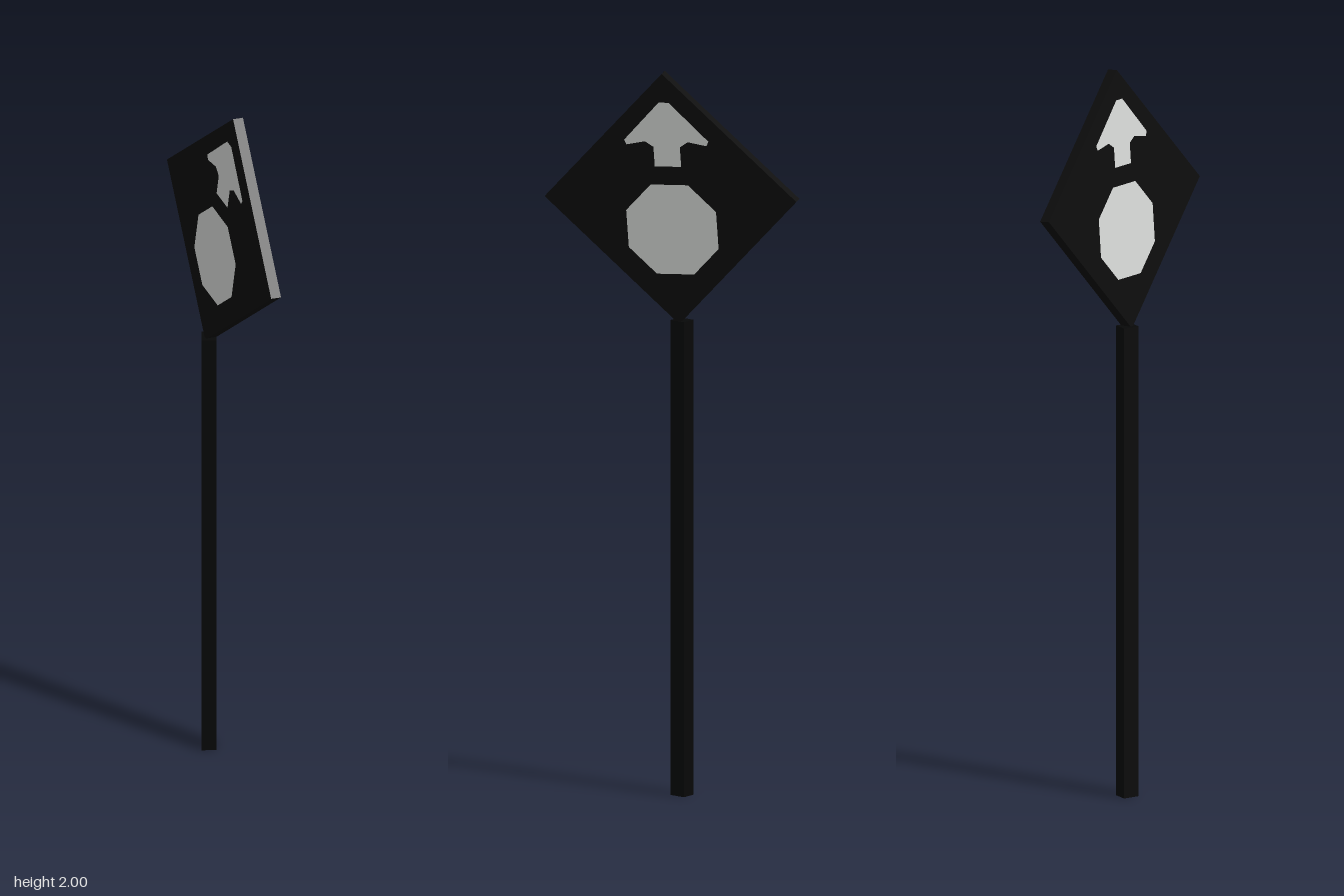
import * as THREE from 'three';

export function createModel() {
  const model = new THREE.Group();
  model.name = 'roadSign';
  const material = (name, color) => new THREE.MeshStandardMaterial({ name, color });
  const plateBlack = material('plate black', 0x0d0d0d);
  const postBlack = material('post black', 0x070808);
  const paleGrey = material('pale grey', 0xd8dad8);

  const add = (parent, name, geometry, mat) => {
    const mesh = new THREE.Mesh(geometry, mat);
    mesh.name = name;
    parent.add(mesh);
    return mesh;
  };

  // Square post, standing a little off centre
  add(model, 'post', new THREE.BoxGeometry(0.04, 1.305, 0.046), postBlack)
    .position.set(-0.04, 0.6525, -0.002);

  // Diamond sign head, turned and leaning on the post
  const across = new THREE.Vector3(0.27, -0.029, 0.655).normalize();
  const up = new THREE.Vector3(0.075, 0.7, 0).normalize();
  const facing = new THREE.Vector3().crossVectors(across, up).normalize();
  up.crossVectors(facing, across);
  const head = new THREE.Group();
  head.name = 'signHead';
  head.quaternion.setFromRotationMatrix(new THREE.Matrix4().makeBasis(across, up, facing));
  head.position.set(0, 1.648, 0);
  model.add(head);

  const side = 0.498, thickness = 0.029;
  add(head, 'plate', new THREE.BoxGeometry(side, side, thickness), plateBlack)
    .rotation.z = Math.PI / 4;

  // Arrow outline, pointing up
  const arrow = new THREE.Shape([
    [0.014, 0.272], [0.118, 0.165], [0.112, 0.152], [0.06, 0.162], [0.037, 0.147], [0.037, 0.092],
    [-0.037, 0.092], [-0.037, 0.147], [-0.06, 0.162], [-0.112, 0.152], [-0.118, 0.165], [-0.014, 0.272],
  ].map(([x, y]) => new THREE.Vector2(x, y)));

  // The same painted symbols on both faces
  for (const [name, turn] of [['front', 0], ['back', Math.PI]]) {
    const face = new THREE.Group();
    face.name = name + 'Symbols';
    face.rotation.y = turn;
    head.add(face);
    add(face, name + 'Arrow', new THREE.ShapeGeometry(arrow), paleGrey)
      .position.z = thickness / 2 + 0.002;
    add(face, name + 'Disc', new THREE.CircleGeometry(0.136, 8, Math.PI / 8), paleGrey)
      .position.set(0, -0.085, thickness / 2 + 0.002);
  }
  return model;
}
